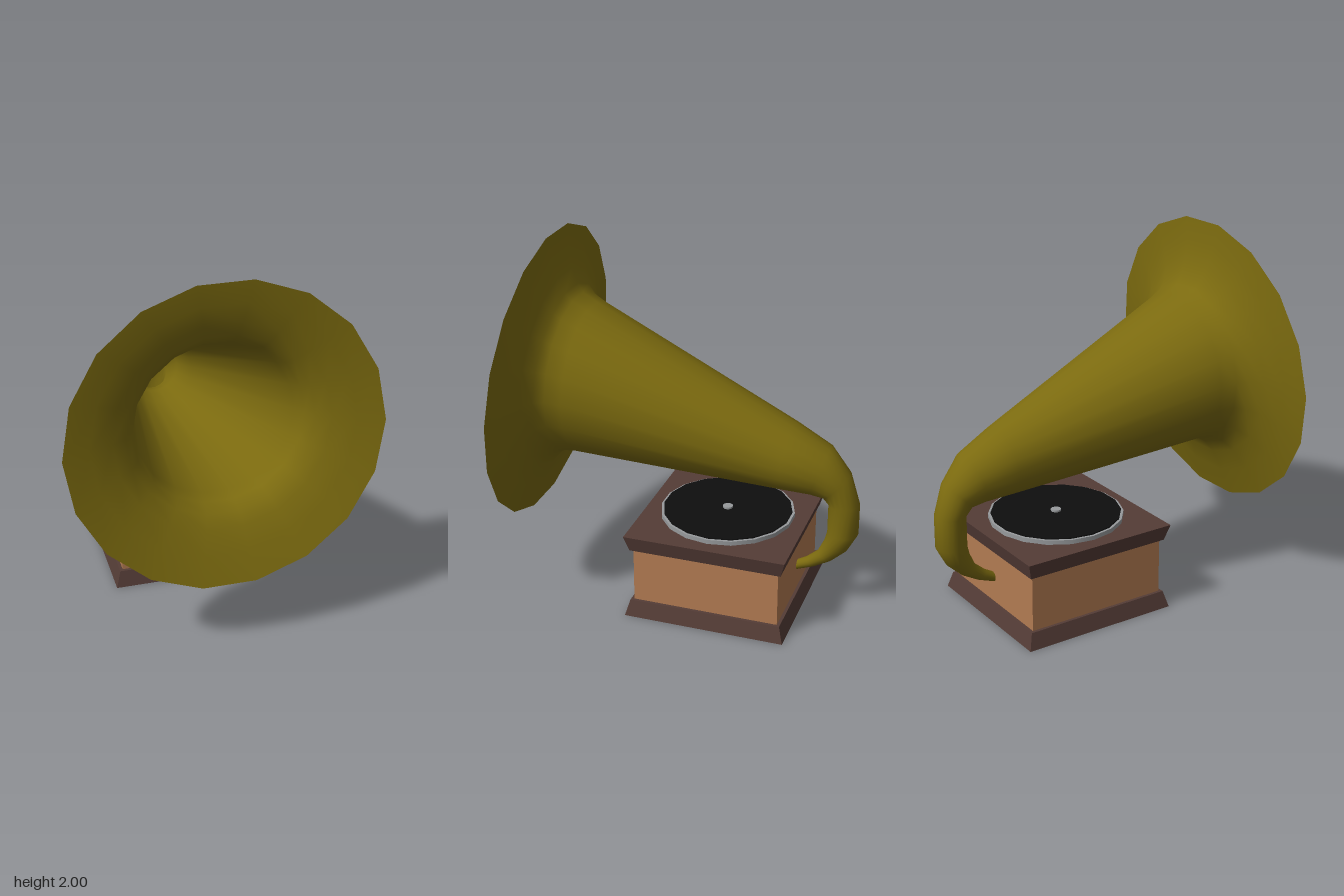
import * as THREE from 'three';

const brass = new THREE.MeshStandardMaterial({ color: 0x7b6a0f, side: THREE.DoubleSide });
brass.name = 'brass';
const wood = new THREE.MeshStandardMaterial({ color: 0xb27b52 });
wood.name = 'wood';
const darkWood = new THREE.MeshStandardMaterial({ color: 0x543c36 });
darkWood.name = 'darkWood';
const black = new THREE.MeshStandardMaterial({ color: 0x0e0e0e });
black.name = 'black';
const metal = new THREE.MeshStandardMaterial({ color: 0x979a9c });
metal.name = 'metal';

const SIDES = 18;
const BASE_Z = -0.19;

function add(group, name, geometry, material, y) {
  const mesh = new THREE.Mesh(geometry, material);
  mesh.name = name;
  mesh.position.set(0, y, BASE_Z);
  group.add(mesh);
}

// Square block whose half width differs between bottom and top
function taperedBlock(bottom, top, height) {
  const geo = new THREE.BoxGeometry(2, height, 2);
  const p = geo.attributes.position;
  for (let i = 0; i < p.count; i++) {
    const s = p.getY(i) > 0 ? top : bottom;
    p.setX(i, p.getX(i) * s);
    p.setZ(i, p.getZ(i) * s);
  }
  geo.computeVertexNormals();
  return geo;
}

function disc(radius, height) {
  return new THREE.CylinderGeometry(radius, radius, height, SIDES, 1, false, Math.PI / 2);
}

// Round sections, each given by its upper/outer and lower/inner point: z, y, z, y
const hornRings = [
  [0.765, 2.0, 0.917, 0.41],
  [0.755, 1.88, 0.865, 0.56],
  [0.73, 1.77, 0.815, 0.68],
  [0.695, 1.69, 0.765, 0.745],
  [0.66, 1.645, 0.705, 0.78],
  [0.58, 1.6, 0.62, 0.785],
  [-0.55, 1.075, -0.5, 0.71],
  [-0.75, 0.97, -0.66, 0.70],
  [-0.865, 0.83, -0.725, 0.685],
  [-0.92, 0.66, -0.755, 0.65],
  [-0.92, 0.48, -0.755, 0.48],
  [-0.865, 0.375, -0.74, 0.42],
  [-0.785, 0.3, -0.705, 0.345],
  [-0.69, 0.245, -0.64, 0.29],
  [-0.585, 0.205, -0.585, 0.26],
];

function hornGeometry() {
  const pos = [], index = [];
  const flat = Math.cos(Math.PI / SIDES);
  hornRings.forEach(([zt, yt, zb, yb], j) => {
    const r = Math.hypot(zt - zb, yt - yb) / 2 / flat;
    for (let i = 0; i < SIDES; i++) {
      const a = (i / SIDES) * Math.PI * 2;
      const s = Math.sin(a) / flat / 2;
      pos.push(r * Math.cos(a), (yt + yb) / 2 + s * (yt - yb), (zt + zb) / 2 + s * (zt - zb));
      if (j < hornRings.length - 1) {
        const n = (i + 1) % SIDES;
        const a0 = j * SIDES + i, b0 = j * SIDES + n;
        index.push(a0, a0 + SIDES, b0, b0, a0 + SIDES, b0 + SIDES);
      }
    }
  });
  const geo = new THREE.BufferGeometry();
  geo.setAttribute('position', new THREE.Float32BufferAttribute(pos, 3));
  geo.setIndex(index);
  geo.computeVertexNormals();
  return geo;
}

export function createModel() {
  const model = new THREE.Group();
  model.name = 'gramophone';

  // Cabinet
  add(model, 'lowerMoulding', taperedBlock(0.445, 0.42, 0.09), darkWood, 0.045);
  add(model, 'cabinet', taperedBlock(0.403, 0.403, 0.32), wood, 0.245);
  add(model, 'upperMoulding', taperedBlock(0.42, 0.445, 0.09), darkWood, 0.445);

  // Turntable
  add(model, 'platter', disc(0.369, 0.025), metal, 0.5015);
  add(model, 'record', disc(0.355, 0.008), black, 0.517);
  add(model, 'spindle', disc(0.028, 0.012), metal, 0.525);

  // Horn with its curved neck running into the back of the cabinet
  const horn = new THREE.Mesh(hornGeometry(), brass);
  horn.name = 'horn';
  model.add(horn);

  return model;
}
